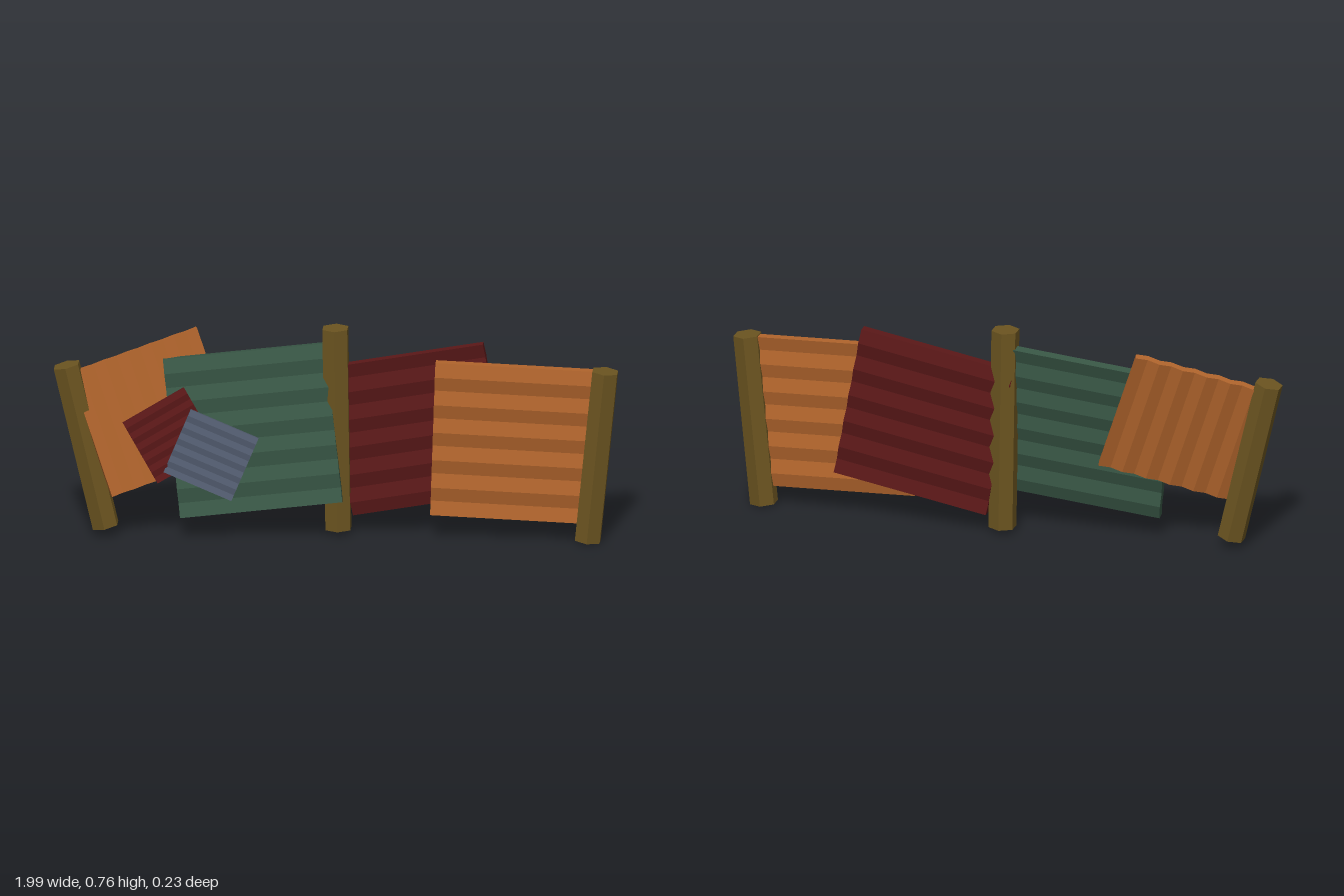
import * as THREE from 'three';

const COLORS = { wood: 0x6b5420, orange: 0xb0642c, green: 0x385645, red: 0x5a1818, grey: 0x515b6e };
const materials = {};
for (const key in COLORS) {
  materials[key] = new THREE.MeshStandardMaterial({ color: COLORS[key], flatShading: true });
}

// Six-sided post running from a bottom point to a top point, leaning sideways only
function post(name, bottom, top, z) {
  const dx = top[0] - bottom[0], dy = top[1] - bottom[1];
  const mesh = new THREE.Mesh(new THREE.CylinderGeometry(0.051, 0.051, Math.hypot(dx, dy), 6), materials.wood);
  mesh.position.set((top[0] + bottom[0]) / 2, (top[1] + bottom[1]) / 2, z);
  mesh.rotation.z = -Math.atan2(dx, dy);
  mesh.name = name;
  return mesh;
}

// Thick corrugated sheet: a box whose rows shift alternately forward and back.
// side = 1 pushes the first ridge forward, -1 pushes it backward.
const FOLDS = 11;
function sheet(name, color, { size, thickness, fold, side = 1, at, turn }) {
  const [w, h] = size;
  const geometry = new THREE.BoxGeometry(w, h, thickness, 1, FOLDS, 1);
  const p = geometry.attributes.position;
  for (let i = 0; i < p.count; i++) {
    const row = Math.round((p.getY(i) / h + 0.5) * FOLDS);
    p.setZ(i, p.getZ(i) + side * (row % 2 ? -fold : fold));
  }
  geometry.computeVertexNormals();
  const mesh = new THREE.Mesh(geometry, materials[color]);
  mesh.position.set(...at);
  mesh.rotation.set(...turn, 'YXZ'); // spin in plane, then tilt, then yaw
  mesh.name = name;
  return mesh;
}

export function createModel() {
  const fence = new THREE.Group();
  fence.name = 'scrapFence';

  // Posts
  fence.add(
    post('rightPost', [-0.816, 0.038], [-0.955, 0.631], 0.046),
    post('middlePost', [0.003, 0.022], [-0.008, 0.765], -0.04),
    post('leftPost', [0.89, 0.009], [0.952, 0.637], -0.0145),
  );

  // Large sheets between the posts
  fence.add(
    sheet('orangeSheet', 'orange', {
      size: [0.57, 0.562], thickness: 0.034, fold: 0.0055,
      at: [0.626, 0.366, -0.013], turn: [0, 0, -0.033],
    }),
    sheet('redSheet', 'red', {
      size: [0.57, 0.556], thickness: 0.035, fold: 0.0055, side: -1,
      at: [0.285, 0.395, -0.053], turn: [0, 0, 0.18],
    }),
    sheet('greenSheet', 'green', {
      size: [0.578, 0.57], thickness: 0.035, fold: 0.0055,
      at: [-0.297, 0.393, 0.006], turn: [-0.147, 0.03, 0.115],
    }),
    sheet('tiltedOrangeSheet', 'orange', {
      size: [0.468, 0.48], thickness: 0.028, fold: 0.005,
      at: [-0.648, 0.451, 0.004], turn: [-0.193, 0.249, -1.278],
    }),
  );

  // Small patches over the gap
  fence.add(
    sheet('redPatch', 'red', {
      size: [0.25, 0.25], thickness: 0.016, fold: 0.0025,
      at: [-0.585, 0.38, 0.05], turn: [-0.15, 0.18, 0.5],
    }),
    sheet('greyPatch', 'grey', {
      size: [0.261, 0.244], thickness: 0.016, fold: 0.0025,
      at: [-0.441, 0.313, 0.058], turn: [-0.12, 0.05, -0.4],
    }),
  );
  return fence;
}
